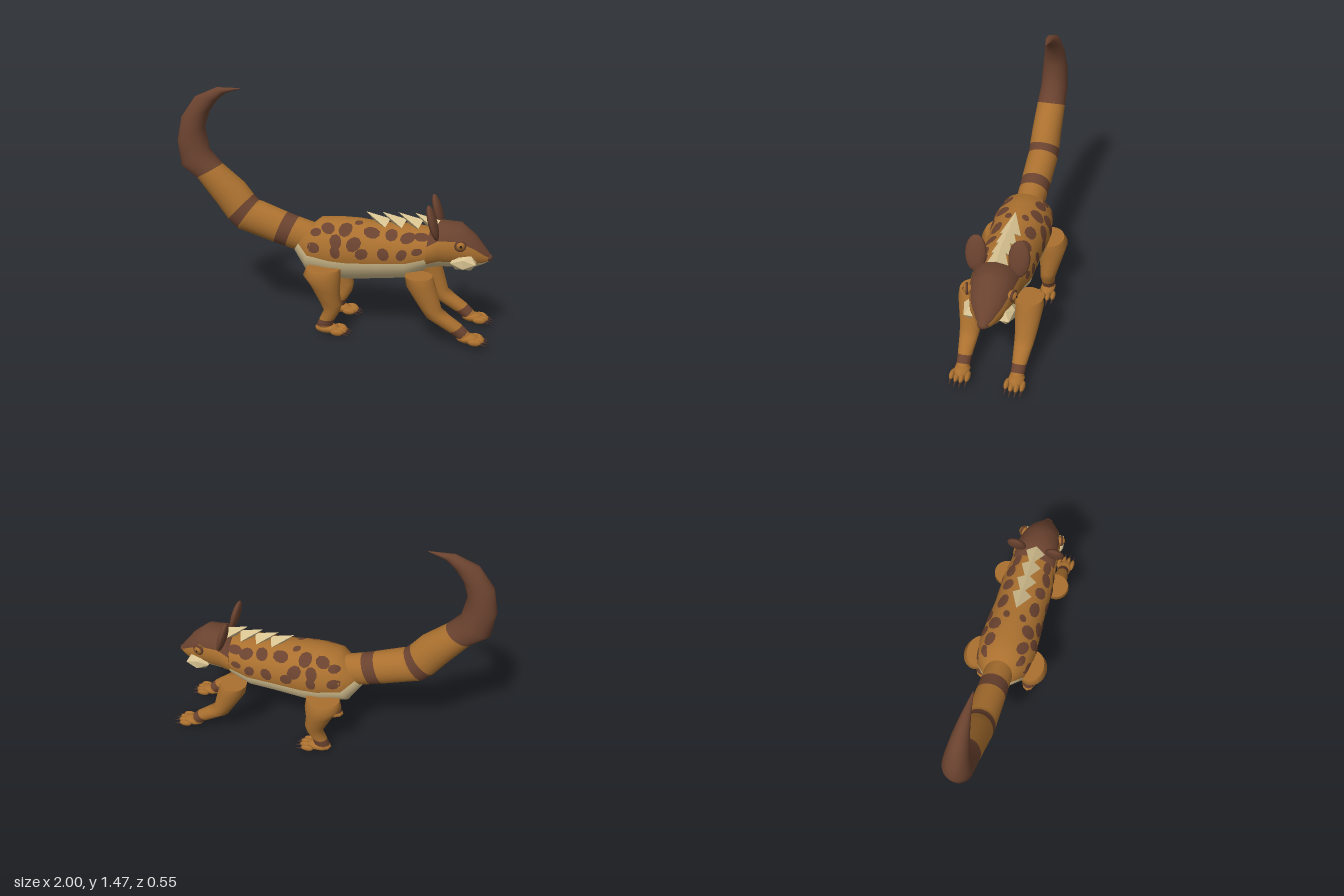
import * as THREE from 'three';

const mat = (name, color) => Object.assign(new THREE.MeshStandardMaterial({ color }), { name });
const tan = mat('tan fur', 0xaa702f);
const dark = mat('dark brown fur', 0x6a422f);
const cream = mat('cream fur', 0xd6c190);
const claw = mat('claw', 0x48322c);
const black = mat('pupil', 0x2a1c16);
const MATS = [tan, dark, cream];
const TAN = 0, DARK = 1, CREAM = 2;

const SIDES = 32;

// One point of a ring [ax, ay, bx, by, z, rz]: an ellipse through a and b, rz deep in z
function ringPoint([ax, ay, bx, by, z, rz], t) {
  const c = Math.cos(t);
  return new THREE.Vector3(
    (ax + bx) / 2 + (c * (ax - bx)) / 2,
    (ay + by) / 2 + (c * (ay - by)) / 2,
    z + Math.sin(t) * rz
  );
}

// Skin over a row of rings, capped at both ends; pick(ring, side) gives the colour
function loft(name, rings, pick = () => TAN) {
  const pos = [];
  const faces = MATS.map(() => []);
  const addRing = (r) => {
    for (let j = 0; j < SIDES; j++) pos.push(...ringPoint(r, (j / SIDES) * Math.PI * 2).toArray());
  };
  rings.forEach(addRing);
  for (let i = 0; i < rings.length - 1; i++) {
    for (let j = 0; j < SIDES; j++) {
      const k = (j + 1) % SIDES;
      const a = i * SIDES + j, b = i * SIDES + k, c = b + SIDES, d = a + SIDES;
      faces[pick(i, j)].push(a, b, c, a, c, d);
    }
  }
  for (const i of [0, rings.length - 1]) {
    const base = pos.length / 3;
    addRing(rings[i]);
    for (let j = 1; j < SIDES - 1; j++) {
      const tri = i ? [base, base + j, base + j + 1] : [base, base + j + 1, base + j];
      faces[pick(Math.max(i - 1, 0), j)].push(...tri);
    }
  }
  const geo = new THREE.BufferGeometry();
  geo.setAttribute('position', new THREE.Float32BufferAttribute(pos, 3));
  geo.setIndex(faces.flat());
  let start = 0;
  faces.forEach((f, m) => {
    if (f.length) geo.addGroup(start, f.length, m);
    start += f.length;
  });
  geo.computeVertexNormals();
  const mesh = new THREE.Mesh(geo, MATS);
  mesh.name = name;
  return mesh;
}

function part(name, geo, material, x, y, z, scale = [1, 1, 1]) {
  const m = new THREE.Mesh(geo, material);
  m.name = name;
  m.position.set(x, y, z);
  m.scale.set(...scale);
  return m;
}

const BODY = [
  [-0.14, 0.64, -0.25, 0.47, 0, 0.09],
  [-0.08, 0.69, -0.17, 0.355, 0, 0.16],
  [0.03, 0.7, 0, 0.322, 0, 0.185],
  [0.15, 0.7, 0.1, 0.312, 0, 0.18],
  [0.3, 0.685, 0.3, 0.335, 0, 0.167],
  [0.46, 0.69, 0.47, 0.355, 0, 0.167],
  [0.62, 0.675, 0.58, 0.42, 0, 0.145],
];

// Point on the body skin at a given x and angle, lifted slightly
function bodyPoint(x, t) {
  const pts = BODY.map((r) => ringPoint(r, t));
  let i = 0;
  while (i < pts.length - 2 && pts[i + 1].x < x) i++;
  const f = (x - pts[i].x) / (pts[i + 1].x - pts[i].x);
  const p = pts[i].clone().lerp(pts[i + 1], f);
  return p.add(new THREE.Vector3(0, Math.cos(t), Math.sin(t)).multiplyScalar(0.003));
}

// Round fur patch that follows the body skin
function spot(x, t, r) {
  const n = 10, pos = [...bodyPoint(x, t).toArray()], idx = [];
  for (const k of [0.5, 1]) {
    for (let j = 0; j < n; j++) {
      const a = (j / n) * Math.PI * 2;
      const w = k * r * (1 + 0.12 * Math.sin(2 * a + x * 20));
      pos.push(...bodyPoint(x + w * Math.sin(a), t + (w * Math.cos(a)) / 0.18).toArray());
    }
  }
  for (let j = 0; j < n; j++) {
    const a = 1 + j, b = 1 + ((j + 1) % n);
    idx.push(0, a, b, a, a + n, b + n, a, b + n, b);
  }
  const geo = new THREE.BufferGeometry();
  geo.setAttribute('position', new THREE.Float32BufferAttribute(pos, 3));
  geo.setIndex(idx);
  geo.computeVertexNormals();
  const m = new THREE.Mesh(geo, dark);
  m.name = 'spot';
  return m;
}

// Flat paw with four clawed toes pointing forward
function foot(name, heel, tip, y, z) {
  const g = new THREE.Group();
  g.name = name;
  const len = tip - heel, ball = new THREE.SphereGeometry(1, 10, 8);
  g.add(part('paw', ball, tan, heel + len * 0.34, y + 0.03, z, [len * 0.34, 0.03, 0.048]));
  for (let i = 0; i < 4; i++) {
    const o = i - 1.5, back = Math.abs(o) > 1 ? 0.014 : 0;
    const tx = tip - 0.064 - back, tz = z + o * 0.031;
    g.add(part('toe', ball, tan, tx - 0.012, y + 0.024, tz, [0.042, 0.021, 0.016]));
    const c = part('claw', new THREE.ConeGeometry(0.013, 0.065, 6), claw, tx + 0.034, y + 0.014, tz);
    c.rotation.z = -Math.PI / 2 - 0.2;
    g.add(c);
  }
  return g;
}

export function createModel() {
  const model = new THREE.Group();
  model.name = 'animal';

  model.add(loft('body', BODY, (i, j) => (j >= 9 && j < 23 ? CREAM : TAN)));

  // Tail with two dark bands and a dark curled tip
  const bands = [1, 4];
  model.add(loft('tail', [
    [-0.24, 0.47, -0.12, 0.65, 0, 0.09],
    [-0.305, 0.488, -0.225, 0.68, 0, 0.093],
    [-0.38, 0.509, -0.3, 0.705, 0, 0.095],
    [-0.6, 0.577, -0.465, 0.765, 0, 0.098],
    [-0.62, 0.583, -0.485, 0.77, 0, 0.098],
    [-0.68, 0.64, -0.52, 0.805, 0, 0.098],
    [-0.75, 0.735, -0.58, 0.88, 0, 0.096],
    [-0.88, 0.9, -0.72, 0.99, 0, 0.092],
    [-0.98, 0.97, -0.8, 1.08, 0, 0.088],
    [-1.0, 1.13, -0.825, 1.22, 0, 0.08],
    [-0.97, 1.28, -0.79, 1.32, 0, 0.064],
    [-0.875, 1.41, -0.735, 1.39, 0, 0.046],
    [-0.735, 1.47, -0.68, 1.435, 0, 0.026],
    [-0.585, 1.47, -0.587, 1.465, 0, 0.003],
  ], (i) => (bands.includes(i) || i >= 7 ? DARK : TAN)));

  // Head: dark cap, tan sides, cream chin
  model.add(loft('head', [
    [0.6, 0.675, 0.58, 0.43, 0, 0.15],
    [0.66, 0.727, 0.66, 0.445, 0, 0.145],
    [0.78, 0.722, 0.77, 0.45, 0, 0.13],
    [0.87, 0.65, 0.87, 0.455, 0, 0.095],
    [0.935, 0.57, 0.92, 0.475, 0, 0.05],
    [0.965, 0.53, 0.955, 0.495, 0, 0.02],
  ], (i, j) => {
    const k = Math.min(j, SIDES - 1 - j);
    return k < 6 ? DARK : k < 11 ? TAN : CREAM;
  }));
  model.add(part('nose', new THREE.SphereGeometry(1, 8, 6), dark, 0.95, 0.517, 0, [0.024, 0.022, 0.032]));

  // Crest of back-swept spines
  for (let i = 0; i < 4; i++) {
    const geo = new THREE.ConeGeometry(0.045, 0.15, 4).toNonIndexed();
    geo.computeVertexNormals();
    const s = part('crestSpine', geo, cream, 0.267 + i * 0.1, 0.713 + i * 0.004, 0, [1, 1, 1.4]);
    s.rotation.z = Math.PI / 2 - 0.52;
    model.add(s);
  }

  // Fur spots: x, angle from the spine, radius
  const spots = [
    [-0.085, 0.85, 0.034], [-0.01, 0.65, 0.043], [0.1, 0.65, 0.046], [0.26, 0.66, 0.046],
    [0.38, 0.7, 0.042], [0.48, 0.8, 0.044], [0.56, 0.72, 0.042], [-0.09, 1.42, 0.038],
    [0.05, 1.1, 0.04], [0.05, 1.44, 0.034], [0.16, 1.14, 0.044], [0.21, 1.44, 0.036],
    [0.34, 1.42, 0.038], [0.45, 1.44, 0.034], [0.54, 1.36, 0.03], [0.17, 0.3, 0.024],
  ];

  for (const s of [1, -1]) {
    const side = s > 0 ? 'left' : 'right';
    for (const [x, t, r] of spots) model.add(spot(x, s * t, r));

    const ear = part(side + 'Ear', new THREE.SphereGeometry(1, 12, 10), dark, 0.625, 0.745, s * 0.125, [0.026, 0.11, 0.063]);
    ear.rotation.z = 0.28;
    model.add(ear);

    // Faceted cheek tuft
    model.add(part(side + 'Cheek', new THREE.IcosahedronGeometry(1, 0), cream, 0.81, 0.507, s * 0.103, [0.088, 0.052, 0.05]));

    // Eye: bulge, lid ring and pupil
    const eye = new THREE.Group();
    eye.name = side + 'Eye';
    eye.position.set(0.79, 0.62, s * 0.125);
    eye.rotation.y = s > 0 ? 0.25 : Math.PI - 0.25;
    eye.add(part('eyeball', new THREE.SphereGeometry(1, 10, 8), tan, 0, 0, 0, [0.03, 0.03, 0.03]));
    eye.add(part('eyelid', new THREE.TorusGeometry(0.029, 0.008, 6, 10), dark, 0, 0, 0.008));
    eye.add(part('pupil', new THREE.SphereGeometry(1, 8, 6), black, 0, 0, 0.026, [0.009, 0.009, 0.006]));
    model.add(eye);

    // Legs run from the shoulder or hip down to a dark ankle band
    const ankle = (n) => (i) => (i === n ? DARK : TAN);
    model.add(loft(side + 'HindLeg', [
      [0.08, 0.425, -0.13, 0.425, s * 0.17, 0.085],
      [0.085, 0.37, -0.145, 0.385, s * 0.185, 0.092],
      [0.08, 0.28, -0.1, 0.32, s * 0.182, 0.075],
      [0.09, 0.2, -0.045, 0.21, s * 0.174, 0.056],
      [0.08, 0.15, -0.02, 0.155, s * 0.168, 0.048],
      [0.045, 0.092, -0.05, 0.092, s * 0.165, 0.042],
      [0.035, 0.055, -0.068, 0.05, s * 0.165, 0.042],
      [0.03, 0.02, -0.06, 0.015, s * 0.165, 0.035],
    ], ankle(5)));
    model.add(foot(side + 'HindFoot', -0.08, 0.16, 0, s * 0.165));

    model.add(loft(side + 'FrontLeg', [
      [0.64, 0.425, 0.475, 0.425, s * 0.165, 0.085],
      [0.655, 0.385, 0.485, 0.365, s * 0.17, 0.086],
      [0.7, 0.225, 0.565, 0.24, s * 0.168, 0.066],
      [0.745, 0.19, 0.61, 0.17, s * 0.166, 0.058],
      [0.825, 0.135, 0.75, 0.085, s * 0.164, 0.043],
      [0.86, 0.1, 0.805, 0.046, s * 0.163, 0.04],
      [0.88, 0.075, 0.83, 0.035, s * 0.163, 0.036],
    ], ankle(4)));
    model.add(foot(side + 'FrontFoot', 0.79, 0.995, 0.025, s * 0.163));
  }
  return model;
}
